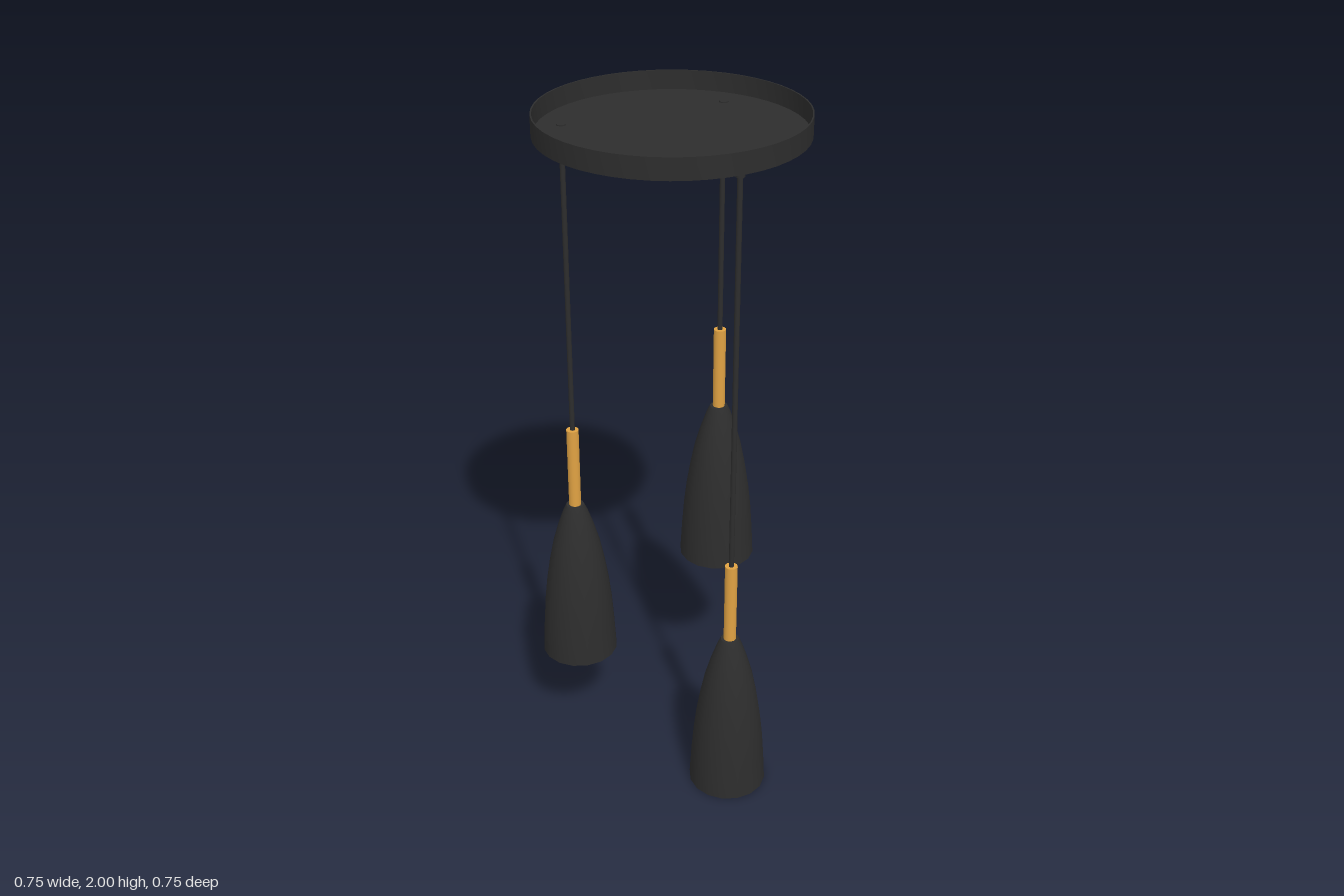
import * as THREE from 'three';
import { toCreasedNormals } from 'three/addons/utils/BufferGeometryUtils.js';

const black = new THREE.MeshStandardMaterial({ color: 0x2d2d2d });
black.name = 'matte black';
const gold = new THREE.MeshStandardMaterial({ color: 0xe0a243 });
gold.name = 'warm gold';

// Surface of revolution; profiles running upward face outward
function lathe(name, profile, sides, material) {
  const points = profile.map(([r, y]) => new THREE.Vector2(r, y));
  const geometry = toCreasedNormals(new THREE.LatheGeometry(points, sides), 0.6);
  const mesh = new THREE.Mesh(geometry, material);
  mesh.name = name;
  return mesh;
}

function rod(name, radius, bottom, top, sides, material) {
  const mesh = new THREE.Mesh(new THREE.CylinderGeometry(radius, radius, top - bottom, sides), material);
  mesh.position.y = (bottom + top) / 2;
  mesh.name = name;
  return mesh;
}

const FLOOR = 1.942;
const SHADE = [
  [0.114, 0], [0.109, 0.09], [0.103, 0.17], [0.095, 0.24], [0.084, 0.31],
  [0.07, 0.38], [0.053, 0.44], [0.036, 0.49], [0.028, 0.508],
];

function pendant(name, x, z, bottom) {
  const group = new THREE.Group();
  group.name = name;

  // Black outer shell, closed in at the neck
  const shell = lathe('shade', [...SHADE, [0.026, 0.512], [0, 0.512]], 16, black);
  // Gold lining just inside it, facing inward
  const inner = SHADE.map(([r, y]) => [r - 0.003, y]).reverse();
  const lining = lathe('shadeLining', [[0, 0.508], ...inner, [0.114, 0]], 16, gold);
  shell.position.y = lining.position.y = bottom;

  group.add(
    shell,
    lining,
    rod('stem', 0.018, bottom + 0.505, bottom + 0.762, 16, gold),
    rod('cord', 0.0075, bottom + 0.755, FLOOR, 10, black),
    rod('cordGrip', 0.0125, 1.905, FLOOR + 0.008, 12, black),
  );
  group.position.set(x, 0, z);
  return group;
}

export function createModel() {
  const model = new THREE.Group();
  model.name = 'pendantLamp';

  // Shallow round ceiling tray, open at the top
  const canopy = lathe('canopy', [
    [0, FLOOR], [0.36, FLOOR], [0.36, 2], [0.356, 2], [0.356, FLOOR + 0.005], [0, FLOOR + 0.005],
  ], 48, black);
  canopy.position.set(0.004, 0, 0.015);

  model.add(
    canopy,
    pendant('leftPendant', 0.262, 0.124, 0),
    pendant('rightPendant', -0.264, 0.124, 0.288),
    pendant('backPendant', 0, -0.262, 0.512),
  );
  return model;
}
